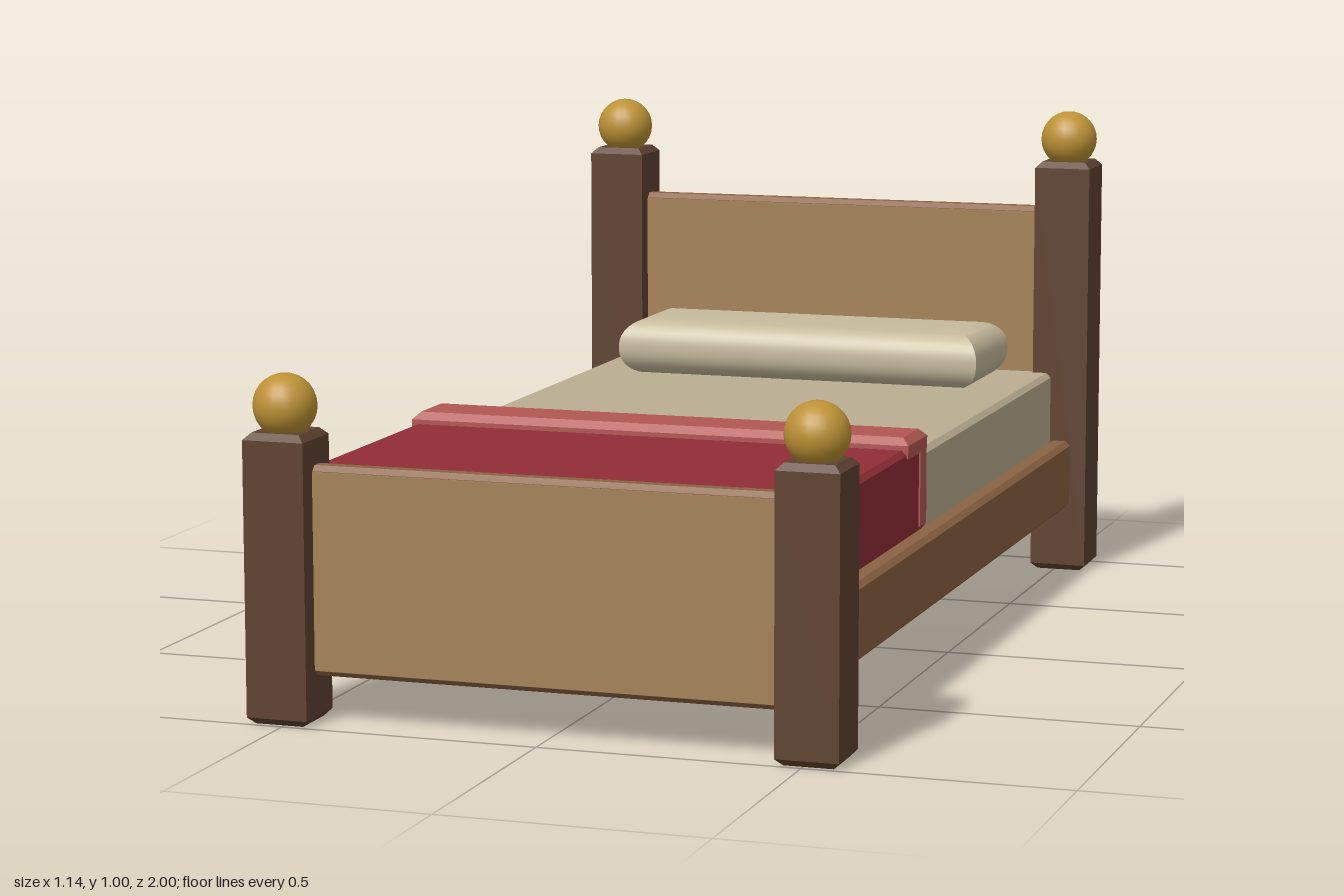
import * as THREE from 'three';
import { toCreasedNormals } from 'three/addons/utils/BufferGeometryUtils.js';

const paint = (name, color) => {
  const m = new THREE.MeshStandardMaterial({ color });
  m.name = name;
  return m;
};

export function createModel() {
  const bed = new THREE.Group();
  bed.name = 'bed';
  const darkWood = paint('dark wood', 0x5e422f);
  const railWood = paint('rail wood', 0x8a6242);
  const panelWood = paint('panel wood', 0xa48357);
  const brass = paint('brass', 0xbd9234);
  const sheet = paint('sheet', 0xbaae92);
  const pillowCloth = paint('pillow cloth', 0xc6bb9d);
  const red = paint('red blanket', 0x912d36);
  const pink = paint('folded lining', 0xb25753);

  const add = (name, geometry, material, x = 0, y = 0, z = 0) => {
    const mesh = new THREE.Mesh(geometry, material);
    mesh.name = name;
    mesh.position.set(x, y, z);
    bed.add(mesh);
    return mesh;
  };

  // Block given by its limits, with bevelled top and bottom edges
  const block = (name, material, [x0, x1], [y0, y1], [z0, z1], bevel = 0.01, segments = 1) => {
    const w = (x1 - x0) / 2 - bevel, d = (z1 - z0) / 2 - bevel;
    const outline = new THREE.Shape([
      new THREE.Vector2(-w, -d), new THREE.Vector2(w, -d),
      new THREE.Vector2(w, d), new THREE.Vector2(-w, d),
    ]);
    let g = new THREE.ExtrudeGeometry(outline, {
      depth: y1 - y0 - 2 * bevel, bevelEnabled: true,
      bevelSize: bevel, bevelThickness: bevel, bevelSegments: segments,
    });
    g.translate(0, 0, bevel).rotateX(-Math.PI / 2);
    if (segments > 1) g = toCreasedNormals(g, 0.6);
    return add(name, g, material, (x0 + x1) / 2, y0, (z0 + z1) / 2);
  };

  // Posts with ball finials
  const ball = new THREE.SphereGeometry(0.06, 20, 14);
  for (const side of [-1, 1]) {
    for (const [end, z, height] of [['head', -0.94, 0.895], ['foot', 0.94, 0.545]]) {
      const x = side * 0.51;
      block(end + 'Post', darkWood, [x - 0.06, x + 0.06], [0, height], [z - 0.06, z + 0.06], 0.013);
      add(end + 'Finial', ball, brass, x, height + 0.046, z);
    }
    // Side rails
    const r = side * 0.511;
    block('sideRail', railWood, [r - 0.024, r + 0.024], [0.14, 0.287], [-0.9, 0.9]);
  }

  // End boards: wooden core with pale faces front and back
  for (const [name, z, top] of [['headboard', -0.942, 0.793], ['footboard', 0.935, 0.484]]) {
    block(name, railWood, [-0.48, 0.48], [0.09, top], [z - 0.022, z + 0.022]);
    const face = new THREE.BoxGeometry(0.94, top - 0.112, 0.004);
    for (const s of [-1, 1]) add(name + 'Face', face, panelWood, 0, (top + 0.09) / 2, z + s * 0.022);
  }

  // Bedding
  block('mattress', sheet, [-0.49, 0.49], [0.19, 0.435], [-0.903, 0.91]);
  block('pillow', pillowCloth, [-0.4, 0.4], [0.432, 0.552], [-0.853, -0.582], 0.055, 8);
  block('blanket', red, [-0.505, 0.505], [0.285, 0.462], [0.205, 0.912]);
  block('blanketFold', pink, [-0.508, 0.508], [0.432, 0.485], [0.2, 0.336], 0.014);
  block('blanketFoldSides', pink, [-0.508, 0.508], [0.29, 0.46], [0.203, 0.248]);

  return bed;
}
